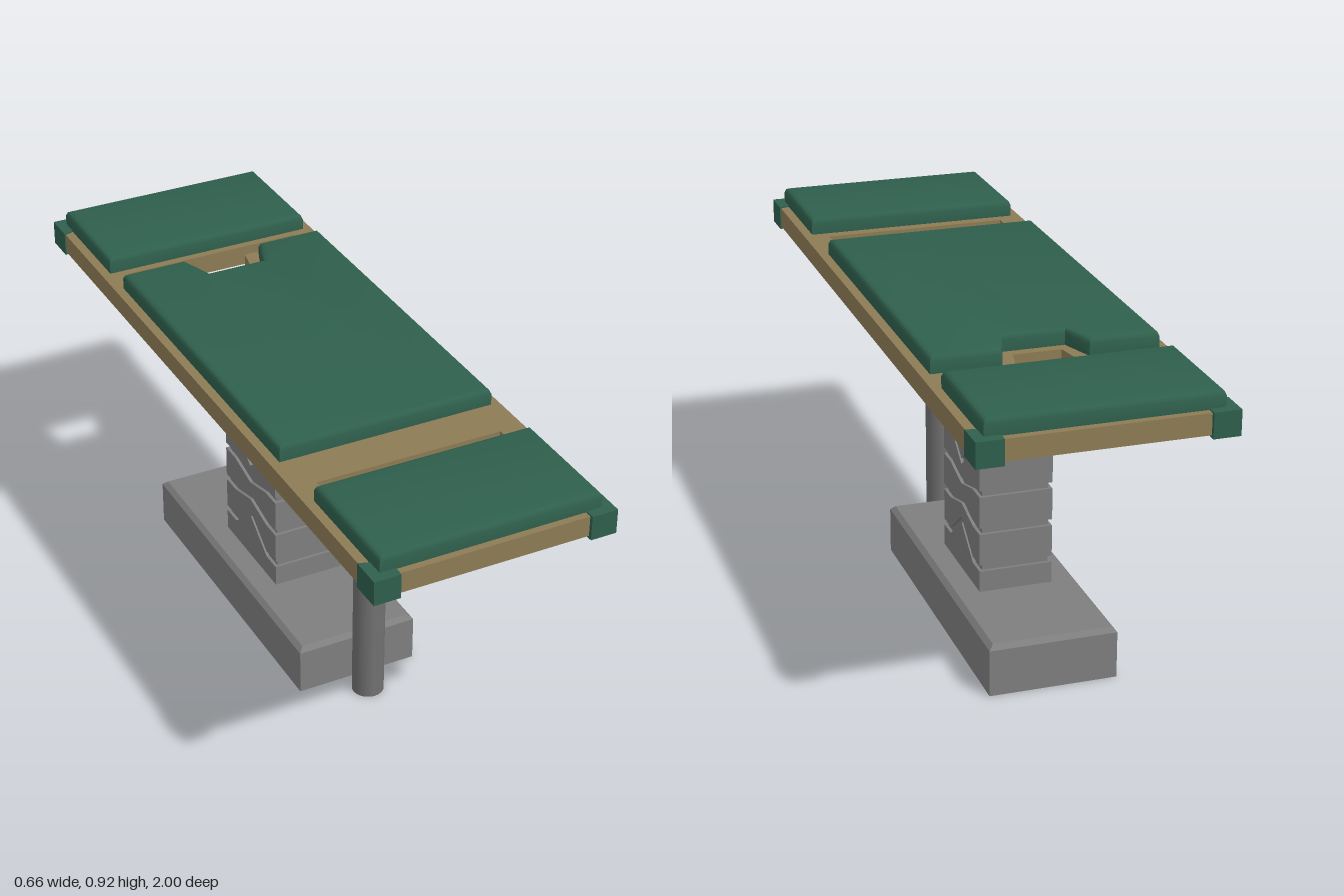
import * as THREE from 'three';
import { toCreasedNormals } from 'three/addons/utils/BufferGeometryUtils.js';

const material = (name, color, side = THREE.FrontSide) => {
  const m = new THREE.MeshStandardMaterial({ color, side });
  m.name = name;
  return m;
};

export function createModel() {
  const green = material('green upholstery', 0x2f5f4d);
  const tan = material('tan board', 0x8d7b55);
  const grey = material('grey casing', 0x7e7e7e, THREE.DoubleSide);
  const steel = material('dark grey leg', 0x707070);
  const model = new THREE.Group();
  model.name = 'treatmentTable';

  const add = (name, geometry, mat) => {
    const mesh = new THREE.Mesh(geometry, mat);
    mesh.name = name;
    model.add(mesh);
    return mesh;
  };
  const toShape = (points) => new THREE.Shape(points.map(([a, b]) => new THREE.Vector2(a, b)));

  // Plate from an x-z outline between two heights
  const plate = (outline, y0, y1, holes = []) => {
    const shape = toShape(outline);
    shape.holes = holes.map((h) => new THREE.Path(h.map(([a, b]) => new THREE.Vector2(a, b))));
    return new THREE.ExtrudeGeometry(shape, { depth: y1 - y0, bevelEnabled: false })
      .rotateX(Math.PI / 2).translate(0, y1, 0);
  };
  // Block from a z-y side outline, centred on x
  const sideBlock = (outline, width) =>
    new THREE.ExtrudeGeometry(toShape(outline), { depth: width, bevelEnabled: false })
      .rotateY(-Math.PI / 2).translate(width / 2, 0, 0);
  // Box whose lower and upper faces are inset by different amounts
  const taperedBox = (halfX, z0, z1, y0, y1, insetLow, insetHigh) => {
    const halfZ = (z1 - z0) / 2;
    const g = new THREE.BoxGeometry(2, y1 - y0, 2);
    const p = g.attributes.position;
    for (let i = 0; i < p.count; i++) {
      const inset = p.getY(i) < 0 ? insetLow : insetHigh;
      p.setX(i, p.getX(i) * (halfX - inset));
      p.setZ(i, p.getZ(i) * (halfZ - inset));
    }
    g.translate(0, (y0 + y1) / 2, (z0 + z1) / 2);
    g.computeVertexNormals();
    return g;
  };
  const rect = (x, z0, z1) => [[-x, z0], [x, z0], [x, z1], [-x, z1]];

  // Board with a front slot and a notched rear slot
  add('board', plate(rect(0.328, -0.99, 0.99), 0.817, 0.874, [
    rect(0.26, 0.565, 0.605),
    [[-0.26, -0.62], [0.26, -0.62], [0.26, -0.575], [0.085, -0.575], [0.065, -0.475],
      [-0.065, -0.475], [-0.085, -0.575], [-0.26, -0.575]],
  ]), tan);

  // Corner caps
  for (const sx of [-1, 1]) {
    for (const sz of [-1, 1]) {
      const outline = [[0.332, 1], [0.26, 1], [0.26, 0.965], [0.3, 0.925], [0.332, 0.915]]
        .map(([x, z]) => [x * sx, z * sz]);
      add('cornerCap', plate(outline, 0.81, 0.878), green);
    }
  }

  // Cushions with softened upper edges
  const bevel = 0.016;
  const cushion = (name, outline) => {
    const g = new THREE.ExtrudeGeometry(toShape(outline), {
      depth: 0.031, bevelThickness: bevel, bevelSize: bevel, bevelOffset: -bevel, bevelSegments: 2,
    }).rotateX(Math.PI / 2).translate(0, 0.922 - bevel, 0);
    // Square off the underside
    const p = g.attributes.position;
    for (let i = 0; i < p.count; i++) p.setY(i, Math.max(p.getY(i), 0.873));
    add(name, toCreasedNormals(g, 0.9), green);
  };
  cushion('footCushion', rect(0.303, 0.635, 0.972));
  cushion('headCushion', rect(0.303, -0.972, -0.64));
  cushion('mainCushion', [[-0.303, -0.545], [-0.115, -0.545], [-0.083, -0.45], [0.083, -0.45],
    [0.115, -0.545], [0.303, -0.545], [0.303, 0.445], [-0.303, 0.445]]);

  // Hollow base open underneath, with chamfered top edge
  const baseHeight = 0.13;
  for (const sx of [-1, 1]) {
    add('baseSide', new THREE.BoxGeometry(0.006, baseHeight, 0.93)
      .translate(sx * 0.172, baseHeight / 2, -0.165), grey);
  }
  for (const z of [0.297, -0.627]) {
    add('baseEnd', new THREE.BoxGeometry(0.35, baseHeight, 0.006)
      .translate(0, baseHeight / 2, z), grey);
  }
  add('baseTop', taperedBox(0.175, -0.63, 0.3, baseHeight, 0.143, 0, 0.013), grey);

  // Column: stacked sections parted by zigzag grooves around a slimmer core
  const zigzag = (y, peak) => [[0, y], [-0.06, y], [-0.16, y + peak], [-0.26, y], [-0.32, y]];
  const flat = (y) => [[0, y], [-0.32, y]];
  const grooves = [[0.212, 0.075], [0.32, 0.025], [0.428, -0.025], [0.535, -0.075]];
  const gap = 0.009;
  for (let i = 0; i <= grooves.length; i++) {
    const low = i === 0 ? flat(0.14) : zigzag(grooves[i - 1][0] + gap, grooves[i - 1][1]);
    const high = i === grooves.length ? flat(0.6) : zigzag(grooves[i][0] - gap, grooves[i][1]);
    add('columnSection', sideBlock([...low, ...high.reverse()], 0.204), grey);
  }
  add('columnCore', taperedBox(0.093, -0.311, -0.009, 0.14, 0.6, 0, 0), grey);
  add('columnCollar', taperedBox(0.112, -0.33, 0.01, 0.597, 0.618, 0.01, 0), grey);

  // Tilt head: two halves parted by a stepped groove
  const step = (y) => [[0.182, y + 0.115], [-0.05, y + 0.115], [-0.22, y], [-0.466, y]];
  add('headLower', sideBlock([[-0.466, 0.629], [0.182, 0.629], ...step(0.654)], 0.386), grey);
  add('headUpper', sideBlock([...step(0.676), [-0.466, 0.818], [0.182, 0.818]], 0.386), grey);
  add('headCore', taperedBox(0.182, -0.455, 0.171, 0.64, 0.81, 0, 0), grey);
  add('headUnderside', taperedBox(0.193, -0.466, 0.182, 0.616, 0.629, 0.012, 0), grey);

  // Telescopic support leg
  const legProfile = [[0, 0], [0.044, 0], [0.044, 0.418], [0.024, 0.436], [0.022, 0.436],
    [0.022, 0.655], [0.03, 0.655], [0.045, 0.676], [0.045, 0.788], [0.086, 0.788],
    [0.086, 0.818], [0, 0.818]].map(([r, y]) => new THREE.Vector2(r, y));
  const leg = toCreasedNormals(new THREE.LatheGeometry(legProfile, 32), 0.5);
  add('supportLeg', leg.translate(0, 0, 0.365), steel);

  return model;
}
